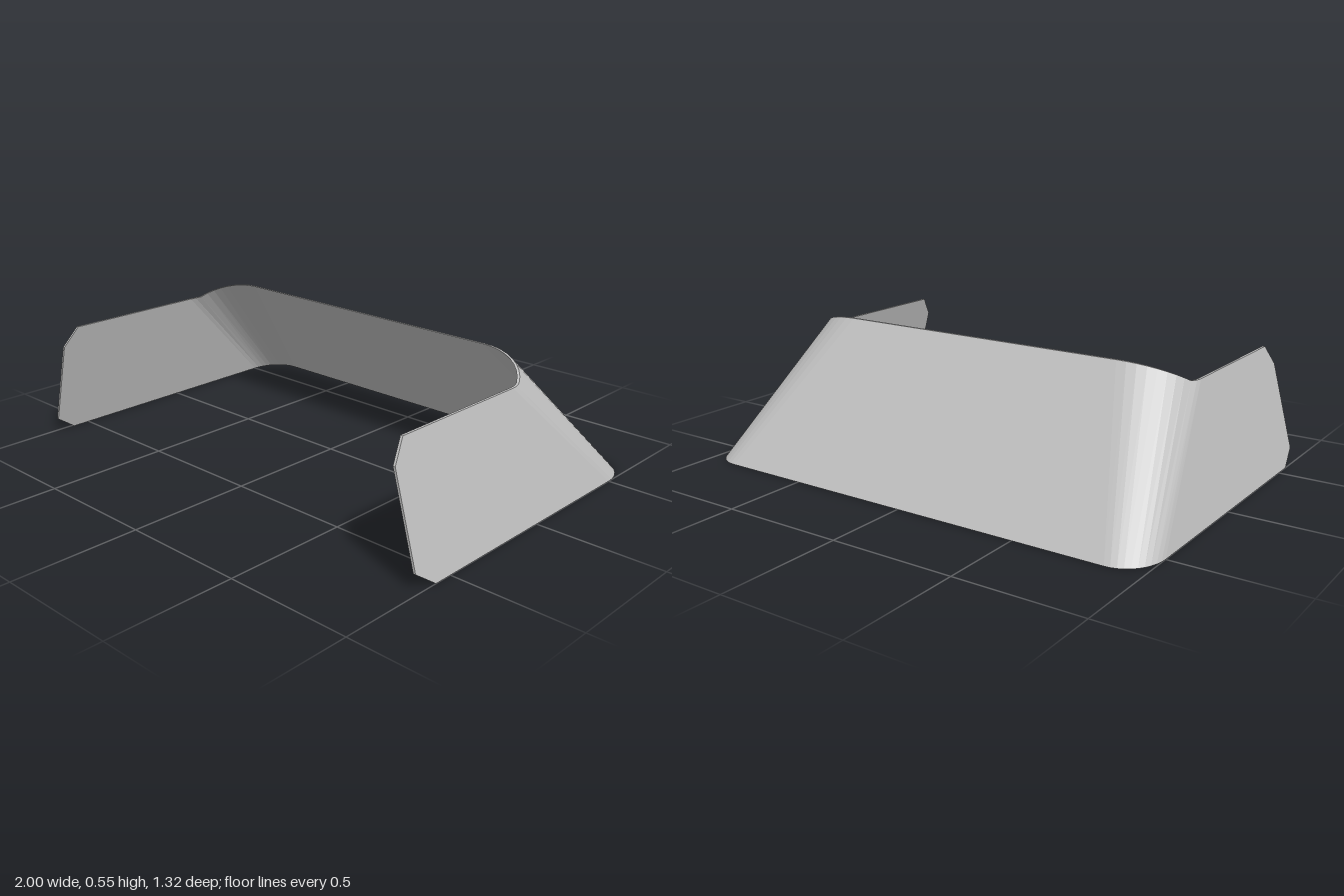
import * as THREE from 'three';

const THICKNESS = 0.01;
const CORNER_STEPS = 10;

// One upright slice of the screen: outer bottom, outer top, inner top, inner bottom.
// "angle" is the facing of the slice: 0 = side, PI / 2 = back.
function column(bottom, top, angle) {
  const inward = new THREE.Vector3(-Math.cos(angle), 0, Math.sin(angle)).multiplyScalar(THICKNESS);
  return [bottom, top, top.clone().add(inward), bottom.clone().add(inward)];
}

// Slice on the flat, inward leaning side panel
function sideColumn(z, yBottom, yTop) {
  const at = (y) => new THREE.Vector3(1 - 0.27 * y, y, z);
  return column(at(yBottom), at(yTop), 0);
}

// Slice on the rounded corner; the top edge climbs towards the back
function cornerColumn(angle) {
  const c = Math.cos(angle), s = Math.sin(angle);
  const bottom = new THREE.Vector3(0.86 + 0.14 * c, 0, -0.5 - 0.16 * s);
  const z = -0.175 * s;
  const y = 0.48 + Math.max(0, -0.05 - z) * 0.56;
  return column(bottom, new THREE.Vector3(0.62 + 0.25 * c, y, z), angle);
}

// Skin a closed four-point section along the columns and cap both ends
function skin(columns) {
  const pos = [];
  const quad = (a, b, c, d) => [a, b, c, a, c, d].forEach((p) => pos.push(p.x, p.y, p.z));
  for (let i = 0; i < columns.length - 1; i++) {
    const a = columns[i], b = columns[i + 1];
    for (let k = 0; k < 4; k++) {
      const n = (k + 1) % 4;
      quad(a[k], b[k], b[n], a[n]);
    }
  }
  quad(...columns[0]);
  quad(...columns[columns.length - 1].slice().reverse());
  const geometry = new THREE.BufferGeometry();
  geometry.setAttribute('position', new THREE.Float32BufferAttribute(pos, 3));
  geometry.computeVertexNormals();
  return geometry;
}

export function createModel() {
  const group = new THREE.Group();
  group.name = 'windscreen';
  const grey = new THREE.MeshStandardMaterial({ color: 0xbfbfbf, flatShading: true });
  grey.name = 'pale grey';

  // Left half, from the chamfered front end round to the back
  const half = [
    sideColumn(0.66, 0.06, 0.4),
    sideColumn(0.6, 0.018, 0.48),
    sideColumn(0.575, 0, 0.48),
  ];
  for (let i = 0; i <= CORNER_STEPS; i++) {
    half.push(cornerColumn((i / CORNER_STEPS) * Math.PI / 2));
  }

  // Mirrored right half continues across the straight back panel
  const mirrored = half.map((col) => col.map((p) => new THREE.Vector3(-p.x, p.y, p.z))).reverse();

  const screen = new THREE.Mesh(skin([...half, ...mirrored]), grey);
  screen.name = 'wraparoundScreen';
  group.add(screen);
  return group;
}
